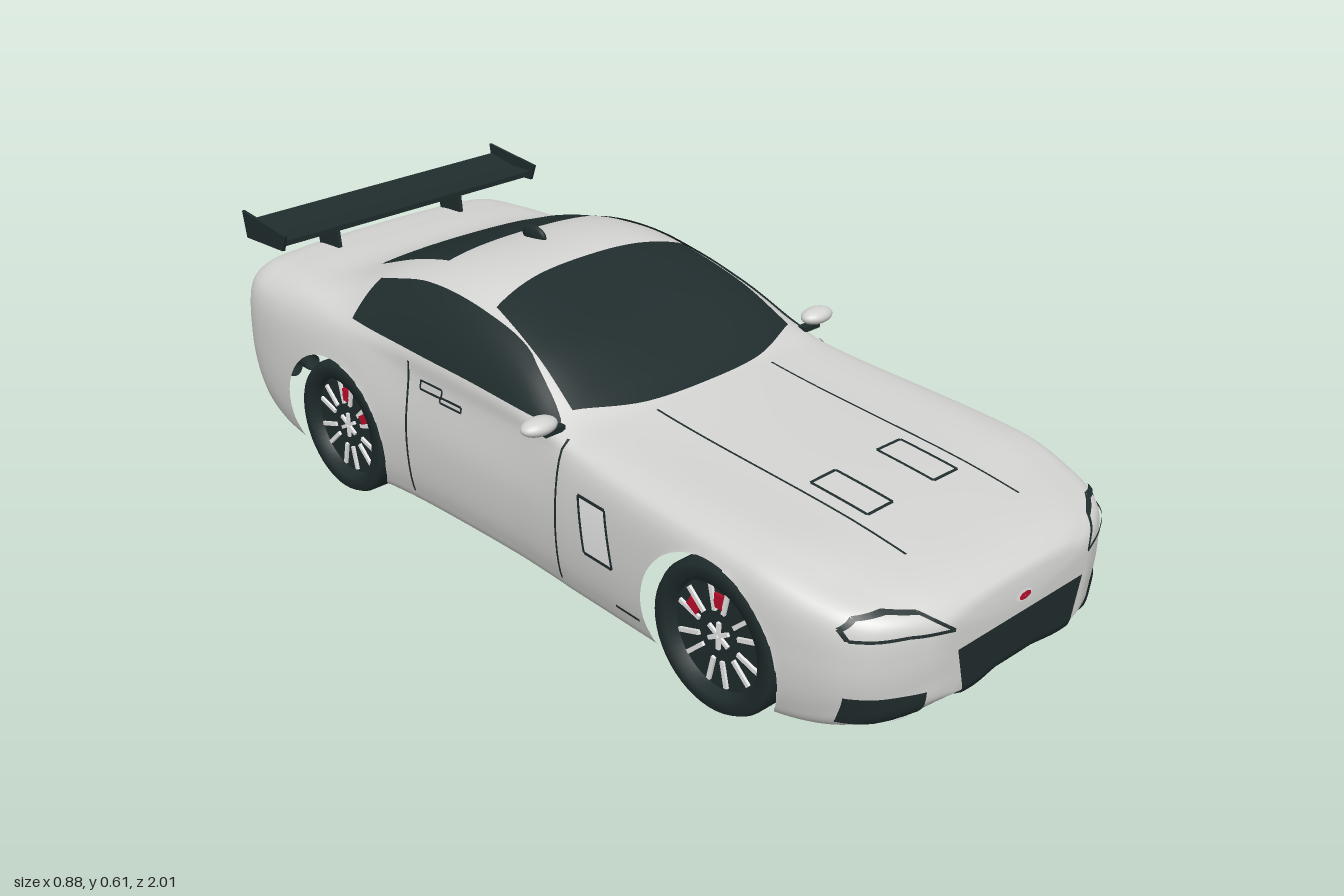
import * as THREE from 'three';
import { mergeGeometries } from 'three/addons/utils/BufferGeometryUtils.js';

const mat = (name, color, side = THREE.DoubleSide) => {
  const m = new THREE.MeshStandardMaterial({ color, side });
  m.name = name;
  return m;
};

// Body stations: z, half width, shoulder y, belt x y, roof edge x y, top y
const STATIONS = [
  [1.00, .20, .285, .14, .30, .08, .308, .31], [.975, .27, .30, .20, .32, .11, .328, .33],
  [.93, .34, .31, .25, .335, .14, .345, .347], [.85, .385, .325, .29, .35, .16, .36, .362],
  [.70, .41, .35, .33, .375, .18, .378, .38], [.20, .395, .37, .36, .395, .22, .412, .42],
  [.12, .39, .37, .365, .405, .30, .438, .455], [0, .385, .37, .365, .42, .30, .495, .515],
  [-.20, .387, .37, .367, .43, .28, .548, .58], [-.35, .393, .375, .37, .43, .28, .548, .583],
  [-.50, .408, .39, .375, .43, .28, .52, .545], [-.70, .412, .40, .36, .445, .25, .467, .475],
  [-.85, .405, .40, .34, .445, .24, .46, .465], [-.95, .38, .40, .32, .435, .22, .448, .453],
  [-1.0, .33, .38, .28, .40, .20, .41, .415],
];
const SEG = 8, HALF = 7 * SEG;
const cache = new Map();

// Smooth half cross-section at z, from floor centre to roof centre
function section(z) {
  if (cache.has(z)) return cache.get(z);
  let k = 0;
  while (k < STATIONS.length - 2 && z < STATIONS[k + 1][0]) k++;
  const S = i => STATIONS[Math.min(Math.max(i, 0), STATIONS.length - 1)];
  const a = S(k), b = S(k + 1), p = S(k - 1), n = S(k + 2), h = b[0] - a[0], t = (z - a[0]) / h;
  const [, w, sy, bx, by, rx, ry, yt] = a.map((v, c) => {
    const m0 = (b[c] - p[c]) / (b[0] - p[0]) * h, m1 = (n[c] - v) / (n[0] - a[0]) * h, d = b[c] - v;
    return v + t * (m0 + t * (3 * d - 2 * m0 - m1 + t * (m0 + m1 - 2 * d)));
  });
  // the floor rises towards nose and tail
  const yb = .06 + .09 * Math.max(0, (Math.abs(z) - .6) / .4) ** 3;
  const pts = [[0, yb], [.9 * w, yb], [.965 * w, yb + .045], [w, .45 * yb + .55 * sy + .01], [.96 * w, sy],
    [bx, by], [rx, ry], [0, yt], [-rx, ry]].map(q => new THREE.Vector3(q[0], q[1], 0));
  const curve = new THREE.CatmullRomCurve3(pts);
  const out = [];
  for (let i = 0; i <= HALF; i++) out.push(curve.getPoint(i / (8 * SEG)));
  out[HALF].x = 0;
  cache.set(z, out);
  return out;
}

function inside(x, y, z) {
  if (Math.abs(z) > 1) return false;
  const s = section(z);
  let odd = false;
  for (let i = 0; i < HALF; i++) {
    const a = s[i], b = s[i + 1];
    if ((a.y > y) !== (b.y > y) && a.x + (y - a.y) / (b.y - a.y) * (b.x - a.x) > Math.abs(x)) odd = !odd;
  }
  return odd;
}

// Drop a 2D point onto the body along an axis: x takes (z,y), y takes (x,z), z takes (x,y)
function hit(axis, dir, u, v) {
  const at = s => axis === 'x' ? [s, v, u] : axis === 'y' ? [u, s, v] : [u, v, s];
  let [lo, hi] = axis === 'x' ? [0, .6] : axis === 'y' ? [.22, dir > 0 ? .8 : -.1] : [.6 * dir, 1.05 * dir];
  for (let i = 0; i < 16; i++) {
    const m = (lo + hi) / 2;
    if (inside(...at(m))) lo = m; else hi = m;
  }
  return at(lo);
}

// Thin skin lying on the body, spanned between two 2D edge curves
function patch(A, B, axis, dir = 1, nu = 20, nv = 10, lift = .004) {
  const edge = e => new THREE.SplineCurve(e.map(p => new THREE.Vector2(...p)));
  const ca = edge(A), cb = edge(B), pos = [], idx = [];
  for (let i = 0; i <= nu; i++) for (let j = 0; j <= nv; j++) {
    const p = ca.getPoint(i / nu).lerp(cb.getPoint(i / nu), j / nv);
    pos.push(...hit(axis, dir, p.x, p.y));
    const a = i * (nv + 1) + j, b = a + nv + 1;
    if (i < nu && j < nv) idx.push(a, b, b + 1, a, b + 1, a + 1);
  }
  const g = new THREE.BufferGeometry();
  g.setAttribute('position', new THREE.Float32BufferAttribute(pos, 3));
  g.setIndex(idx);
  g.computeVertexNormals();
  const c = 'xyz'.indexOf(axis), P = g.attributes.position;
  let sum = 0;
  for (let i = 0; i < P.count; i++) sum += g.attributes.normal.array[3 * i + c] * dir;
  if (sum < 0) { g.setIndex(idx.reverse()); g.computeVertexNormals(); }
  for (let i = 0; i < P.array.length; i++) P.array[i] += g.attributes.normal.array[i] * lift;
  return g;
}

// Thin seam along a 2D polyline on the body
function seam(pts, axis, dir = 1, width = .005, lift = .005) {
  return mergeGeometries(pts.slice(1).map((q, i) => {
    const p = pts[i], l = Math.hypot(q[0] - p[0], q[1] - p[1]);
    const nx = -(q[1] - p[1]) / l * width / 2, ny = (q[0] - p[0]) / l * width / 2;
    const off = s => [p, q].map(r => [r[0] + nx * s, r[1] + ny * s]);
    return patch(off(1), off(-1), axis, dir, 12, 1, lift);
  }));
}
const loop = pts => [...pts, pts[0]];
const rect = (a, b, c, d) => loop([[a, b], [c, b], [c, d], [a, d]]);
const oval = (x, y, rx, ry) => Array.from({ length: 17 }, (_, i) =>
  [x + rx * Math.cos(i * Math.PI / 8), y + ry * Math.sin(i * Math.PI / 8)]);

const WHEELS = [.6, -.585], AXLE = .16, ARCH = .176;

// Lofted shell with the wheel arches cut out
function bodyGeometry() {
  const rings = 150, cols = 2 * HALF, pos = [], idx = [], cut = [];
  for (let i = 0; i <= rings; i++) {
    const z0 = 1 - 2 * i / rings, s = section(z0);
    for (let j = 0; j < cols; j++) {
      const p = s[j <= HALF ? j : cols - j], x = j <= HALF ? p.x : -p.x;
      let y = p.y, z = z0, gone = false;
      for (const zc of WHEELS) {
        const dz = z0 - zc, dy = p.y - AXLE, d = Math.hypot(dz, dy);
        if (p.x < .3 || d >= ARCH) continue;
        gone = true;
        if (dy > 0) { y = AXLE + dy * ARCH / d; z = zc + dz * ARCH / d; }
        else z = zc + Math.sign(dz || 1) * Math.sqrt(ARCH * ARCH - dy * dy);
      }
      pos.push(x, y, z);
      cut.push(gone);
    }
  }
  for (let i = 0; i < rings; i++) for (let j = 0; j < cols; j++) {
    const k = (j + 1) % cols, a = i * cols + j, d = i * cols + k, b = a + cols, c = d + cols;
    if (!(cut[a] && cut[b] && cut[c] && cut[d])) idx.push(a, b, c, a, c, d);
  }
  // nose and tail caps
  const n = pos.length / 3, last = rings * cols;
  pos.push(0, .24, 1, 0, .28, -1);
  for (let j = 0; j < cols; j++) {
    const k = (j + 1) % cols;
    idx.push(n, j, k, n + 1, last + k, last + j);
  }
  const g = new THREE.BufferGeometry();
  g.setAttribute('position', new THREE.Float32BufferAttribute(pos, 3));
  g.setIndex(idx);
  g.computeVertexNormals();
  return g;
}

export function createModel() {
  const car = new THREE.Group();
  car.name = 'sportsCar';
  const paint = mat('silverPaint', 0xd3d4d1, THREE.FrontSide), dark = mat('darkTrim', 0x202c2d);
  const red = mat('red', 0xb80d2c), light = mat('lightMetal', 0xf0f0f0);
  const add = (name, geo, m, parent = car) => {
    const mesh = new THREE.Mesh(geo, m);
    mesh.name = name;
    parent.add(mesh);
    return mesh;
  };
  const both = (name, geo, m) => { add(name + 'Left', geo, m); add(name + 'Right', geo, m).scale.x = -1; };
  const box = (w, h, d, x, y, z) => new THREE.BoxGeometry(w, h, d).translate(x, y, z);

  add('body', bodyGeometry(), paint);

  // Glass
  add('windscreen', patch([[-.31, .13], [-.16, .185], [0, .2], [.16, .185], [.31, .13]],
    [[-.265, -.155], [-.13, -.182], [0, -.19], [.13, -.182], [.265, -.155]], 'y', 1, 28, 16), dark);
  add('rearWindow', patch([[-.205, -.39], [0, -.41], [.205, -.39]], [[-.21, -.64], [0, -.665], [.21, -.64]], 'y'), dark);
  both('sideWindow', patch([[.14, .412], [-.1, .425], [-.3, .43], [-.53, .437]],
    [[.13, .42], [-.02, .505], [-.2, .546], [-.37, .546], [-.53, .508]], 'x', 1, 30), dark);

  // Bonnet, door and flank seams
  both('bonnetSeam', seam([[.165, .22], [.165, .86]], 'y'), dark);
  both('bonnetVent', seam(rect(.06, .6, .13, .74), 'y', 1, .007), dark);
  both('doorSeamFront', seam([[.175, .1], [.175, .4]], 'x', 1, .006), dark);
  both('doorSeamRear', seam([[-.32, .1], [-.32, .41]], 'x', 1, .006), dark);
  both('sillSeam', seam([[.42, .12], [.35, .12]], 'x', 1, .006), dark);
  both('doorHandle', mergeGeometries([seam(rect(-.145, .348, -.215, .36), 'x'),
    seam(rect(-.21, .358, -.28, .378), 'x')]), dark);
  both('flankVent', patch([[.35, .204], [.265, .204]], [[.324, .32], [.244, .32]], 'x', 1, 6, 6), light);
  both('flankVentFrame', seam(loop([[.35, .204], [.265, .204], [.244, .32], [.324, .32]]), 'x', 1, .007, .006), dark);

  // Nose
  add('grille', patch([[-.185, .24], [.185, .24]], [[-.152, .108], [.152, .108]], 'z', 1, 24, 12), dark);
  both('bumperDuct', patch([[.24, .17], [.36, .17]], [[.24, .108], [.355, .108]], 'z', 1, 14, 8), dark);
  both('fogLamp', patch([[.245, .112], [.275, .112]], [[.245, .105], [.275, .105]], 'z', 1, 4, 1, .007), light);
  both('headlampOutline', seam(loop([[.195, .285], [.25, .322], [.30, .328], [.345, .322], [.365, .305], [.36, .288],
    [.28, .292]]), 'z', 1, .006), dark);
  add('frontLip', patch([[-.27, .94], [-.15, .97], [.15, .97], [.27, .94]],
    [[-.32, .83], [-.12, .84], [.12, .84], [.32, .83]], 'y', -1), dark);
  add('badgeRing', patch(oval(0, .275, .023, .012), oval(0, .275, .001, .001), 'z', 1, 24, 2), light);
  add('badge', patch(oval(0, .275, .017, .008), oval(0, .275, .001, .001), 'z', 1, 24, 2, .007), red);

  // Tail
  for (const [name, x] of [['outerTailLamp', .315], ['innerTailLamp', .225]]) {
    both(name, patch(oval(x, .365, .034, .034), oval(x, .365, .019, .019), 'z', -1, 32, 2), red);
    both(name + 'Lens', patch(oval(x, .365, .019, .019), oval(x, .365, .001, .001), 'z', -1, 32, 2), light);
  }
  add('plateFrame', seam(rect(-.075, .25, .075, .335), 'z', -1, .006), dark);
  add('tailReflector', patch([[-.015, .23], [.015, .23]], [[-.015, .218], [.015, .218]], 'z', -1, 2, 1), red);
  add('rearOpening', patch([[-.11, .2], [.11, .2]], [[-.075, .135], [.075, .135]], 'z', -1, 10, 8), dark);
  for (const x of [-.12, -.04, .04, .12]) add('diffuserFin', box(.006, .04, .09, x, .085, -.84), dark);
  for (const x of [.235, .285]) {
    both('exhaust', new THREE.CylinderGeometry(.02, .02, .07, 20, 1, true).rotateX(Math.PI / 2).translate(x, .155, -.965), dark);
    both('exhaustCore', new THREE.CircleGeometry(.019, 20).translate(x, .155, -.98), dark);
  }

  // Rear wing
  const slab = (pts, w, x) => new THREE.ExtrudeGeometry(new THREE.Shape(pts.map(p => new THREE.Vector2(...p))),
    { depth: w, bevelEnabled: false }).translate(0, 0, -w / 2).rotateY(Math.PI / 2).translate(x, 0, 0);
  add('wingBlade', slab([[.80, .528], [.87, .524], [.955, .54], [.955, .55], [.87, .538], [.80, .54]], .73, 0), dark);
  both('wingEndPlate', slab([[.785, .557], [.962, .573], [.95, .51], [.80, .518]], .007, .365), dark);
  both('wingStay', slab([[.85, .45], [.93, .45], [.945, .54], [.86, .53]], .01, .18), dark);

  // Roof aerial and door mirrors
  add('aerial', new THREE.SphereGeometry(1, 16, 12).scale(.01, .022, .04).translate(0, .588, -.35), dark);
  both('mirror', new THREE.SphereGeometry(1, 24, 16).scale(.042, .018, .028).translate(.4, .43, .135), paint);
  both('mirrorStalk', box(.05, .012, .02, .37, .413, .14), dark);

  // Wheels
  const tyre = new THREE.LatheGeometry([[.1, -.06], [.15, -.06], [.157, -.045], [.157, .045], [.15, .058], [.12, .06], [.114, .035]]
    .map(p => new THREE.Vector2(...p)), 48).rotateZ(-Math.PI / 2);
  const disc = new THREE.CylinderGeometry(.115, .115, .03, 40).rotateZ(-Math.PI / 2).translate(.02, 0, 0);
  const spoke = (w, len, r, a) => new THREE.BoxGeometry(.008, len, w).translate(.037, r, 0).rotateX(a);
  const bars = [], star = [];
  for (let k = 0; k < 6; k++) {
    const a = k * Math.PI / 3;
    for (const s of [-1, 1]) bars.push(new THREE.BoxGeometry(.008, .055, .009).rotateX(s * .22)
      .translate(.037, .078, s * .017).rotateX(a));
    star.push(spoke(.008, .026, .016, a));
  }
  for (const side of [1, -1]) for (const [i, z] of WHEELS.entries()) {
    const wheel = new THREE.Group();
    wheel.name = (i ? 'rear' : 'front') + 'Wheel' + (side > 0 ? 'Left' : 'Right');
    wheel.position.set(.33 * side, .157, z);
    wheel.scale.x = side;
    add('tyre', tyre, dark, wheel);
    add('wheelDisc', disc, dark, wheel);
    add('spokes', mergeGeometries(bars), light, wheel);
    add('hubStar', mergeGeometries(star), light, wheel);
    add('brakeCaliper', mergeGeometries([0, (i ? 1 : -1) * Math.PI / 3].map(a => spoke(.022, .03, .075, a))), red, wheel);
    car.add(wheel);
  }
  return car;
}
